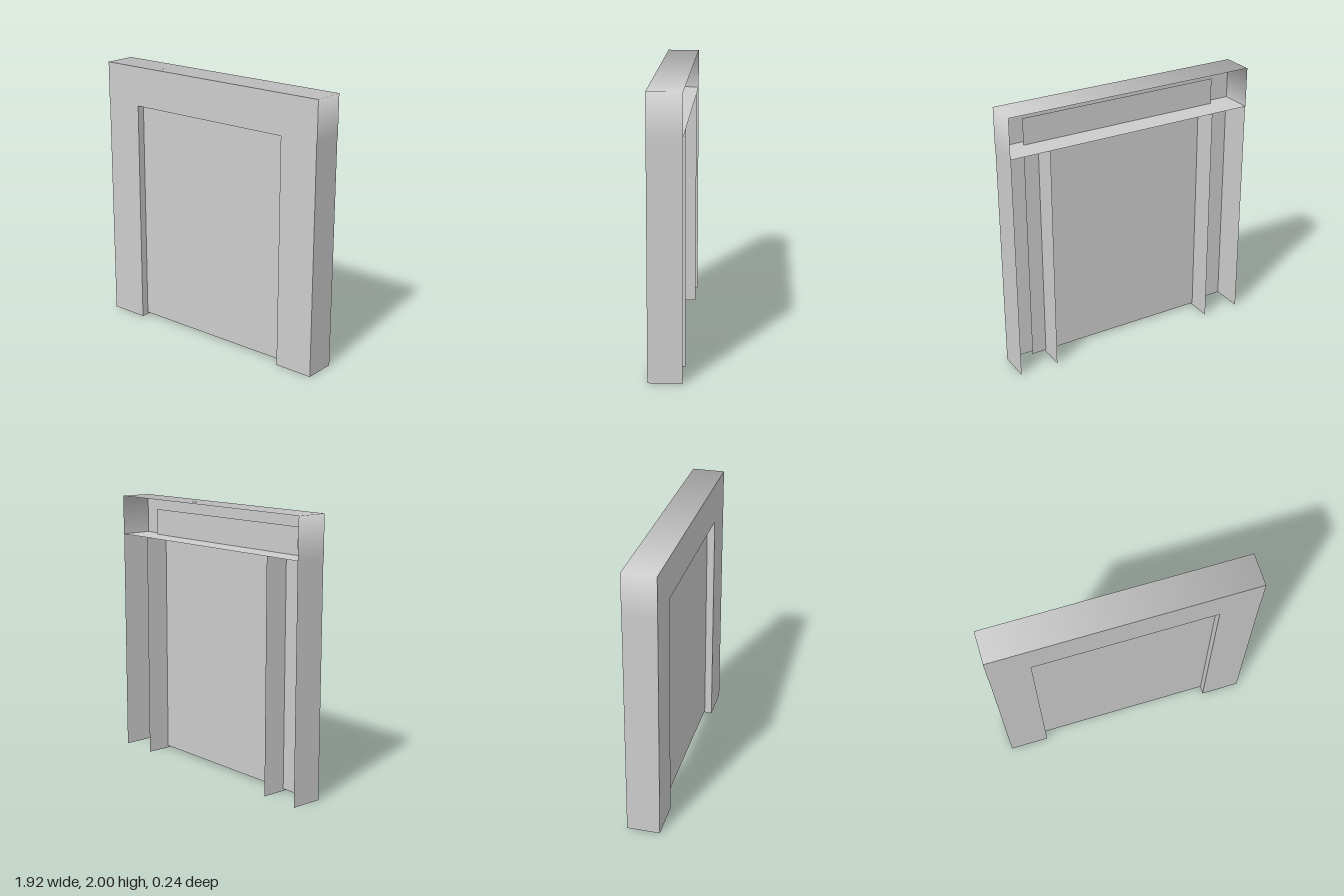
import * as THREE from 'three';

const D = 0.12;        // half depth
const W = 0.96;        // half width
const OPEN = 0.663;    // half width of the opening
const HEAD = 1.705;    // underside of the lintel
const TOP = 2;

export function createModel() {
  const grey = new THREE.MeshStandardMaterial({ color: 0xcccccc, side: THREE.DoubleSide });
  grey.name = 'plainGrey';
  const root = new THREE.Group();
  root.name = 'doorway';

  const sheet = (parent, name, w, h, pos, rot = [0, 0, 0]) => {
    const mesh = new THREE.Mesh(new THREE.PlaneGeometry(w, h), grey);
    mesh.name = name;
    mesh.position.set(...pos);
    mesh.rotation.set(...rot);
    parent.add(mesh);
  };

  // Posts: thin-walled channels, open at the back and at both ends
  const outer = W - 0.003;
  for (const s of [1, -1]) {
    const post = new THREE.Group();
    post.name = s > 0 ? 'leftPost' : 'rightPost';
    const turn = [0, s * Math.PI / 2, 0];
    sheet(post, 'postFront', outer - OPEN, HEAD, [s * (outer + OPEN) / 2, HEAD / 2, D]);
    sheet(post, 'postOuterSide', 2 * D, HEAD, [s * outer, HEAD / 2, 0], turn);
    sheet(post, 'postInnerSide', 2 * D, HEAD, [s * OPEN, HEAD / 2, 0], [0, -turn[1], 0]);
    root.add(post);
  }

  // Lintel: front and underside, open at the back
  const lintel = new THREE.Group();
  lintel.name = 'lintel';
  sheet(lintel, 'lintelFront', 2 * W, TOP - HEAD, [0, (TOP + HEAD) / 2, D]);
  sheet(lintel, 'lintelUnderside', 2 * W, 2 * D, [0, HEAD, 0], [Math.PI / 2, 0, 0]);

  // Lintel ends and top as one strip, shaded smoothly round the corners
  const k = Math.SQRT1_2;
  const profile = [ // x, y, normal x, normal y
    [W, HEAD, 1, 0], [W, TOP, k, k], [-W, TOP, -k, k], [-W, HEAD, -1, 0],
  ];
  const positions = [], normals = [], index = [];
  profile.forEach(([x, y, nx, ny], i) => {
    for (const z of [D, -D]) {
      positions.push(x, y, z);
      normals.push(nx, ny, 0);
    }
    const a = 2 * i;
    if (i < 3) index.push(a, a + 1, a + 2, a + 1, a + 3, a + 2);
  });
  const strip = new THREE.BufferGeometry();
  strip.setAttribute('position', new THREE.Float32BufferAttribute(positions, 3));
  strip.setAttribute('normal', new THREE.Float32BufferAttribute(normals, 3));
  strip.setIndex(index);
  const cap = new THREE.Mesh(strip, grey);
  cap.name = 'lintelTopAndEnds';
  lintel.add(cap);
  root.add(lintel);

  // Door leaf: set back in the opening, running on behind the posts and lintel
  sheet(root, 'doorPanel', 1.55, 1.885, [0, 0.015 + 1.885 / 2, 0.063]);

  return root;
}
